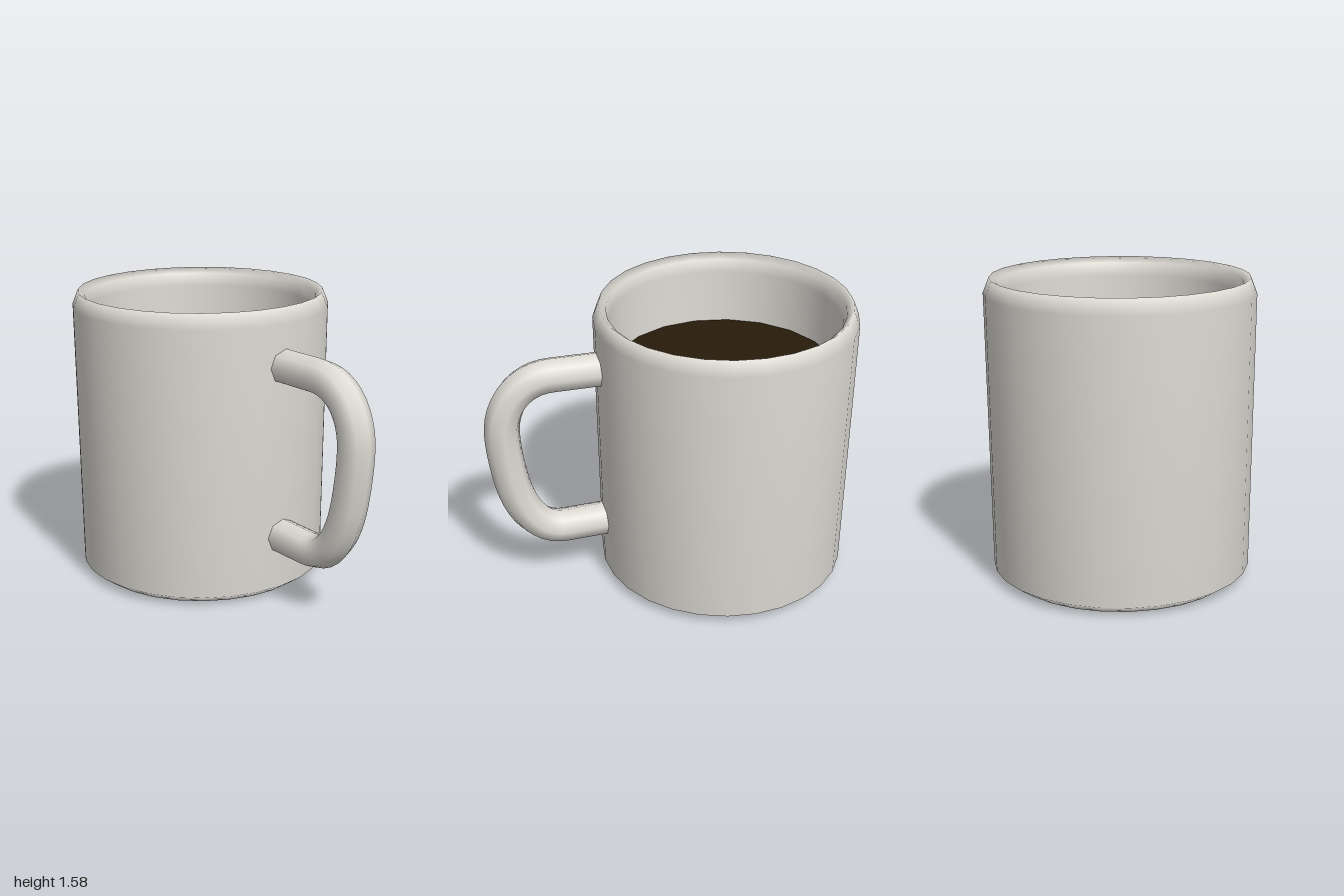
import * as THREE from 'three';

const AXIS_X = -0.303; // the cup sits off centre to make room for the handle

export function createModel() {
  const group = new THREE.Group();
  const ceramic = new THREE.MeshStandardMaterial({ color: 0xdedbd4 });
  ceramic.name = 'ceramic';
  const coffeeBrown = new THREE.MeshStandardMaterial({ color: 0x281c0b });
  coffeeBrown.name = 'coffee brown';

  const add = (name, geometry, material, x = 0, y = 0) => {
    const mesh = new THREE.Mesh(geometry, material);
    mesh.name = name;
    mesh.position.set(x, y, 0);
    group.add(mesh);
  };

  // Cup: hollow underside, foot, outer wall, rounded rim, inner wall and floor
  const profile = [
    [0, 0.1], [0.45, 0.1], [0.61, 0], [0.68, 0.05], [0.697, 1.5], [0.665, 1.58],
    [0.628, 1.55], [0.617, 1.48], [0.606, 0.22], [0.55, 0.17], [0, 0.17],
  ].map(([r, y]) => new THREE.Vector2(r, y));
  add('cup', new THREE.LatheGeometry(profile, 28), ceramic, AXIS_X);

  // Coffee surface
  const surface = new THREE.CircleGeometry(0.606, 20).rotateX(-Math.PI / 2);
  add('coffee', surface, coffeeBrown, AXIS_X, 1.187);

  // Handle: straight stubs joined by a bowed grip
  const v = (x, y) => new THREE.Vector3(x, y, 0);
  const path = new THREE.CurvePath();
  path.add(new THREE.LineCurve3(v(0.365, 1.274), v(0.63, 1.272)));
  path.add(new THREE.CubicBezierCurve3(v(0.63, 1.272), v(0.81, 1.272), v(0.906, 1.12), v(0.906, 0.96)));
  path.add(new THREE.CubicBezierCurve3(v(0.906, 0.96), v(0.906, 0.86), v(0.888, 0.74), v(0.868, 0.64)));
  path.add(new THREE.CubicBezierCurve3(v(0.868, 0.64), v(0.82, 0.43), v(0.72, 0.328), v(0.59, 0.334)));
  path.add(new THREE.LineCurve3(v(0.59, 0.334), v(0.365, 0.343)));
  add('handle', new THREE.TubeGeometry(path, 40, 0.094, 8, false), ceramic);

  return group;
}
